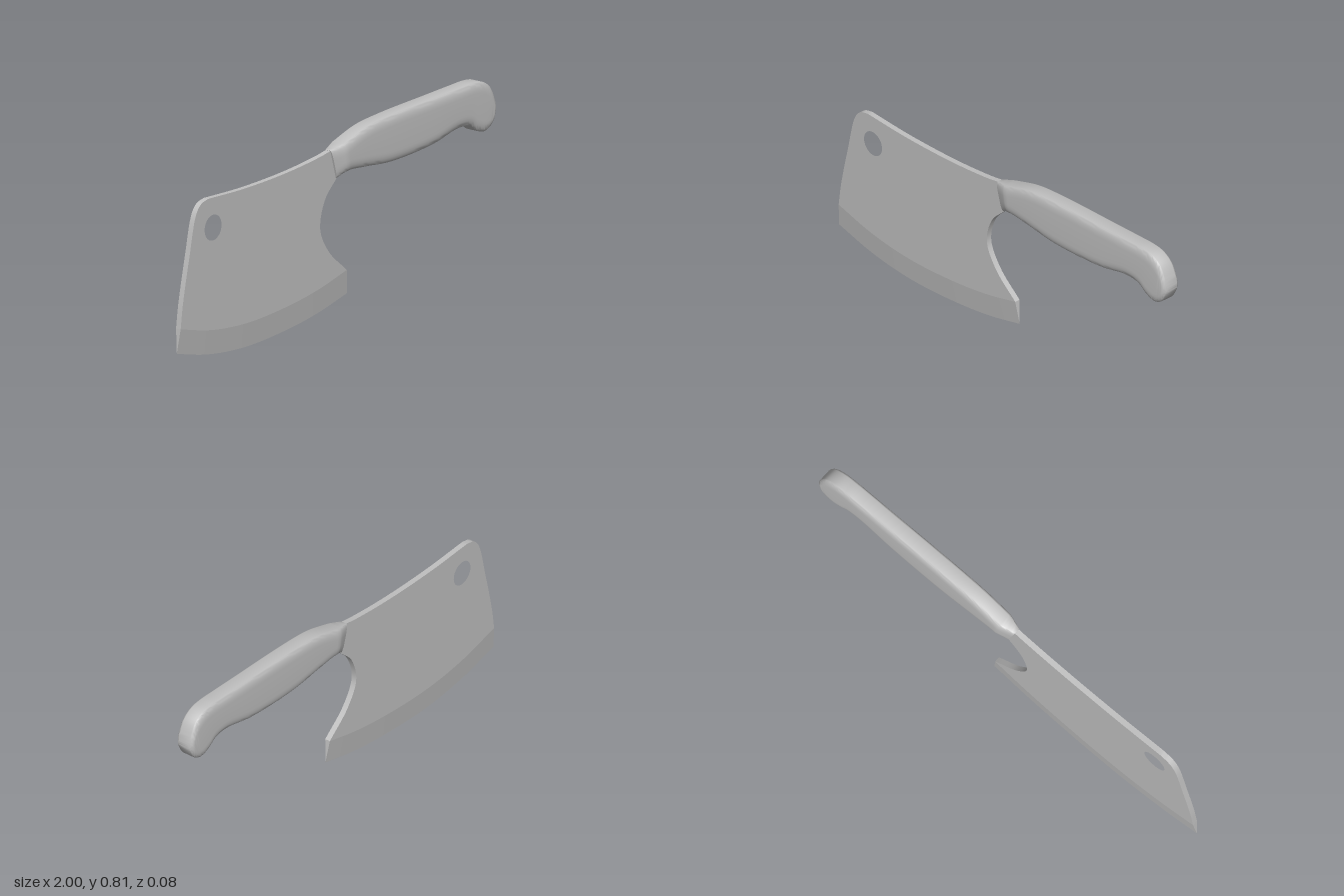
import * as THREE from 'three';
import { toCreasedNormals } from 'three/addons/utils/BufferGeometryUtils.js';

const HALF = 0.012; // half thickness of the blade
const BEVEL = 0.103; // height of the ground cutting bevel

const curve = (pts) => new THREE.CatmullRomCurve3(pts.map(([x, y]) => new THREE.Vector3(x, y, 0)));

// Skin a list of rings (running along +x, each ordered y -> z) and close both ends
function loft(rings, crease) {
  const pos = [], idx = [], n = rings[0].length;
  rings.forEach((r) => r.forEach((p) => pos.push(p.x, p.y, p.z)));
  for (let i = 0; i < rings.length - 1; i++) {
    for (let j = 0; j < n; j++) {
      const a = i * n + j, b = i * n + (j + 1) % n;
      idx.push(a, b, b + n, a, b + n, a + n);
    }
  }
  [0, rings.length - 1].forEach((i) => {
    const c = rings[i].reduce((s, p) => s.add(p), new THREE.Vector3()).divideScalar(n);
    const k = pos.length / 3;
    pos.push(c.x, c.y, c.z);
    for (let j = 0; j < n; j++) {
      const a = i * n + j, b = i * n + (j + 1) % n;
      if (i === 0) idx.push(k, b, a);
      else idx.push(k, a, b);
    }
  });
  const g = new THREE.BufferGeometry();
  g.setAttribute('position', new THREE.Float32BufferAttribute(pos, 3));
  g.setIndex(idx);
  return toCreasedNormals(g, crease);
}

export function createModel() {
  const group = new THREE.Group();
  const steel = new THREE.MeshStandardMaterial({ color: 0xc0c0c0 });
  steel.name = 'steel grey';
  const add = (geometry, name) => {
    const mesh = new THREE.Mesh(geometry, steel);
    mesh.name = name;
    group.add(mesh);
  };

  // Cutting edge, and the line where the bevel meets the flat of the blade
  const edge = curve([[-1, 0.065], [-0.8, 0.02], [-0.57, 0], [-0.3, 0.014], [-0.1, 0.042], [0.085, 0.085]]).getPoints(40);
  const shoulder = edge.map((p, i) => new THREE.Vector3(
    p.x + THREE.MathUtils.lerp(0.01, -0.014, i / 40), p.y + BEVEL, 0));

  // Flat of the blade with the hanging hole
  const left = curve([[-0.99, 0.168], [-0.976, 0.267], [-0.935, 0.455], [-0.89, 0.63], [-0.858, 0.666], [-0.815, 0.678]]);
  const spine = curve([[-0.815, 0.678], [-0.58, 0.671], [-0.31, 0.679], [-0.1, 0.699], [-0.03, 0.711]]);
  const notch = curve([[0.005, 0.588], [-0.07, 0.51], [-0.099, 0.395], [-0.045, 0.29], [0.071, 0.188]]);
  const outline = [
    ...left.getPoints(40), ...spine.getPoints(32).slice(1),
    new THREE.Vector3(0.01, 0.69, 0), new THREE.Vector3(0.02, 0.62, 0),
    ...notch.getPoints(32), ...shoulder.slice(1, -1).reverse(),
  ];
  const shape = new THREE.Shape(outline.map((p) => new THREE.Vector2(p.x, p.y)));
  const hole = new THREE.Path();
  hole.absarc(-0.783, 0.551, 0.054, 0, Math.PI * 2, true);
  shape.holes.push(hole);
  const blade = new THREE.ExtrudeGeometry(shape, { depth: HALF * 2, bevelEnabled: false, curveSegments: 32 });
  blade.translate(0, 0, -HALF);
  add(toCreasedNormals(blade, 0.6), 'blade');

  // Wedge ground down to the cutting edge
  add(loft(edge.map((p, i) => {
    const s = shoulder[i];
    return [new THREE.Vector3(s.x, s.y, HALF), p.clone(), new THREE.Vector3(s.x, s.y, -HALF)];
  }), 0.1), 'cuttingEdge');

  // Handle: rounded sections spanning matched points on its back and belly
  const back = curve([[-0.035, 0.711], [0.03, 0.73], [0.17, 0.77], [0.33, 0.786], [0.6, 0.797], [0.78, 0.804],
    [0.86, 0.806], [0.915, 0.798], [0.96, 0.77], [0.988, 0.72], [0.999, 0.68], [1, 0.665]]);
  const belly = curve([[0, 0.588], [0.05, 0.609], [0.16, 0.604], [0.33, 0.589], [0.6, 0.604], [0.76, 0.636],
    [0.835, 0.629], [0.88, 0.6], [0.925, 0.587], [0.965, 0.602], [0.99, 0.637], [0.999, 0.655]]);
  const spans = 11, steps = spans * 6, arc = 6;
  const rings = [];
  for (let i = 0; i <= steps; i++) {
    const t = i / steps;
    const top = back.getPoint(t), bottom = belly.getPoint(t);
    const length = top.distanceTo(bottom);
    const round = Math.min(0.045, length * 0.45) / length;
    const swell = 0.016 * Math.min(1, length / 0.1);
    const neck = Math.min(1, 0.5 + 0.5 * t * spans);
    const side = [];
    for (let k = 0; k <= arc; k++) {
      const a = (k / arc) * Math.PI / 2;
      side.push([round * (1 - Math.cos(a)), (0.026 + swell * Math.sin(a)) * neck]);
    }
    const half = [...side, ...side.slice().reverse().map(([v, z]) => [1 - v, z])];
    const ring = [...half, ...half.slice().reverse().map(([v, z]) => [v, -z])];
    rings.push(ring.map(([v, z]) => top.clone().lerp(bottom, v).setZ(z)));
  }
  add(loft(rings, 0.7), 'handle');

  return group;
}
